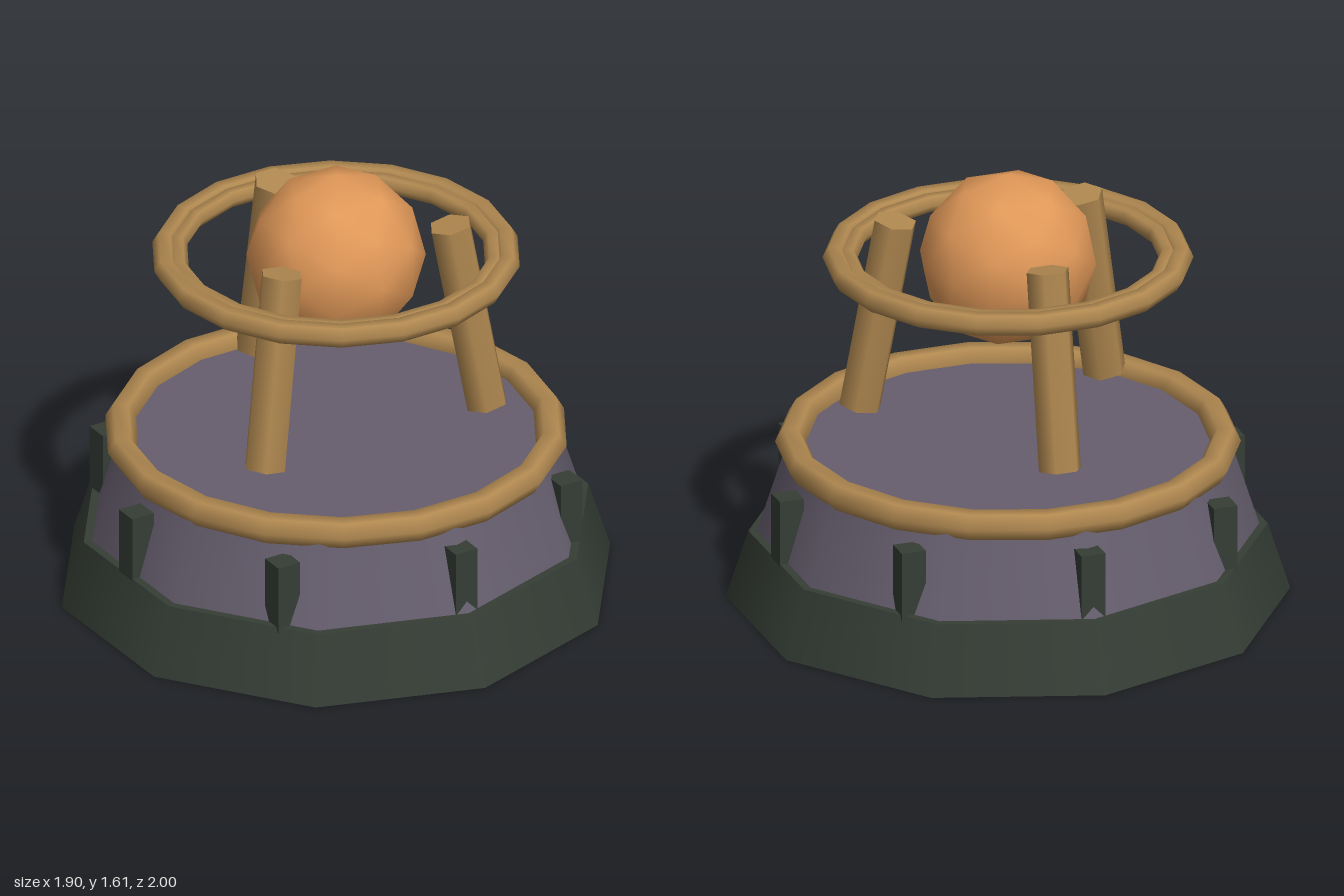
import * as THREE from 'three';

const paint = (name, color) => {
  const m = new THREE.MeshStandardMaterial({ color });
  m.name = name;
  return m;
};

export function createModel() {
  const group = new THREE.Group();
  const darkStone = paint('dark green stone', 0x353d35);
  const greyStone = paint('purple grey stone', 0x665e6e);
  const bronze = paint('bronze', 0xb08850);
  const copper = paint('glowing copper', 0xe09858);

  const add = (name, geometry, material, x = 0, y = 0, z = 0) => {
    const mesh = new THREE.Mesh(geometry, material);
    mesh.name = name;
    mesh.position.set(x, y, z);
    group.add(mesh);
    return mesh;
  };
  const ring = (name, radius, tube, y) =>
    add(name, new THREE.TorusGeometry(radius, tube, 6, 18).rotateX(Math.PI / 2), bronze, 0, y, 0);

  // Ten-sided plinth and tapered drum
  add('base', new THREE.CylinderGeometry(0.92, 1, 0.25, 10), darkStone, 0, 0.125, 0);
  add('drum', new THREE.CylinderGeometry(0.785, 0.89, 0.33, 10), greyStone, 0, 0.415, 0);
  ring('drumRim', 0.77, 0.055, 0.58);

  // Eight square buttresses around the drum, all aligned to the axes
  for (let i = 0; i < 8; i++) {
    const a = (i * Math.PI) / 4;
    add('buttress', new THREE.BoxGeometry(0.09, 0.26, 0.09), darkStone,
      Math.sin(a) * 0.832, 0.36, Math.cos(a) * 0.832);
  }

  // Three hexagonal posts leaning inward, floating above the drum
  const up = new THREE.Vector3(0, 1, 0);
  for (let i = 0; i < 3; i++) {
    const a = Math.PI + (i * Math.PI * 2) / 3;
    const at = (r, y) => new THREE.Vector3(Math.sin(a) * r, y, Math.cos(a) * r);
    const bottom = at(0.532, 0.683), top = at(0.405, 1.398);
    const geometry = new THREE.CylinderGeometry(0.079, 0.079, bottom.distanceTo(top), 6, 1, false, Math.PI / 6);
    const post = add('post', geometry.rotateY(a), bronze);
    post.position.copy(bottom).lerp(top, 0.5);
    post.quaternion.setFromUnitVectors(up, top.sub(bottom).normalize());
  }

  // Floating orb with two nested halo rings
  add('orb', new THREE.IcosahedronGeometry(0.318, 1), copper, 0, 1.287, 0);
  ring('outerHalo', 0.614, 0.043, 1.288);
  ring('innerHalo', 0.566, 0.034, 1.288);

  return group;
}
